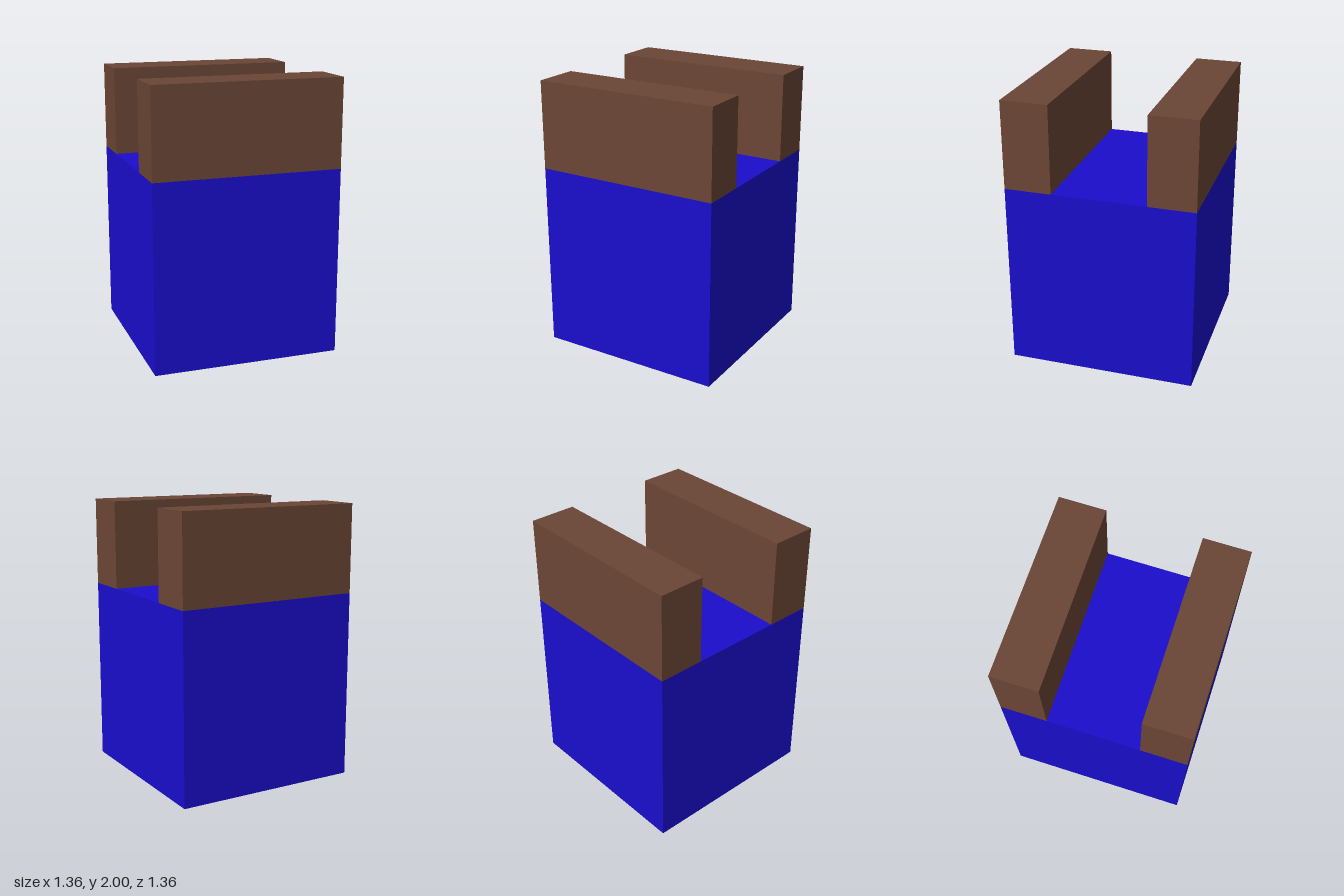
import * as THREE from 'three';

const WIDTH = 1.36;       // the base is a cube of this size
const RAIL_HEIGHT = 0.64;
const RAIL_DEPTH = 0.34;

function addBox(group, name, size, position, color) {
  const material = new THREE.MeshStandardMaterial({ color });
  const mesh = new THREE.Mesh(new THREE.BoxGeometry(...size), material);
  mesh.name = name;
  mesh.position.set(...position);
  group.add(mesh);
}

export function createModel() {
  const model = new THREE.Group();
  model.name = 'blockWithRails';

  // Blue cube base
  addBox(model, 'base', [WIDTH, WIDTH, WIDTH], [0, WIDTH / 2, 0], 0x1a0dcc);

  // Brown rails along the front and back top edges
  for (const [name, side] of [['frontRail', 1], ['backRail', -1]]) {
    addBox(model, name, [WIDTH, RAIL_HEIGHT, RAIL_DEPTH],
      [0, WIDTH + RAIL_HEIGHT / 2, side * (WIDTH - RAIL_DEPTH) / 2], 0x6b4636);
  }

  return model;
}
